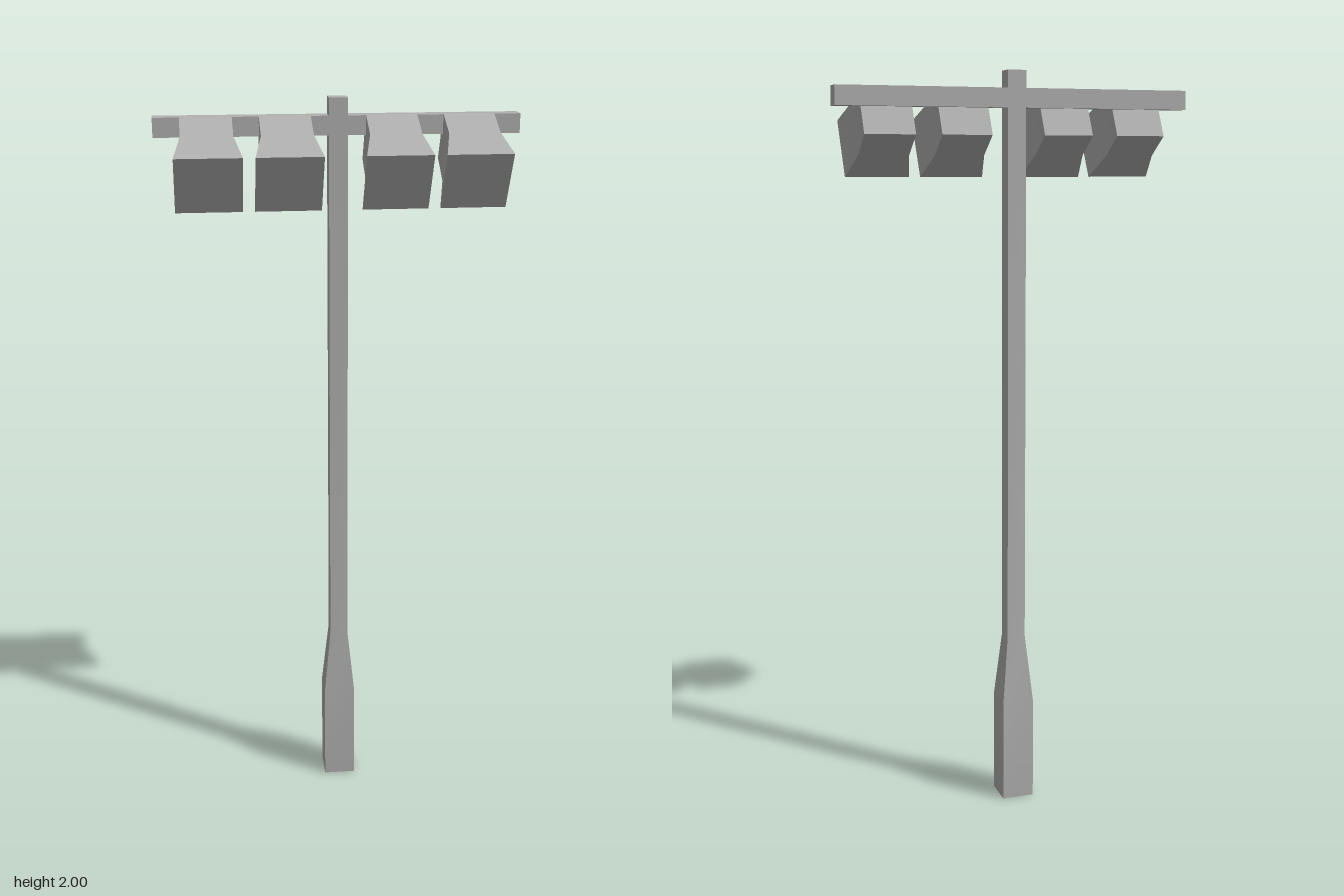
import * as THREE from 'three';
import { toCreasedNormals } from 'three/addons/utils/BufferGeometryUtils.js';

// Closed skin over four-cornered rings, each counter-clockwise seen from the end
function loft(rings) {
  const pos = [];
  const quad = (a, b, c, d) => pos.push(...a, ...b, ...c, ...a, ...c, ...d);
  for (let r = 0; r < rings.length - 1; r++) {
    for (let i = 0; i < 4; i++) {
      const j = (i + 1) % 4;
      quad(rings[r][i], rings[r][j], rings[r + 1][j], rings[r + 1][i]);
    }
  }
  const [a, b, c, d] = rings[0];
  quad(d, c, b, a);
  quad(...rings[rings.length - 1]);
  const geo = new THREE.BufferGeometry();
  geo.setAttribute('position', new THREE.Float32BufferAttribute(pos, 3));
  return toCreasedNormals(geo, Math.PI / 6);
}

export function createModel() {
  const model = new THREE.Group();
  model.name = 'floodlightMast';
  const metal = new THREE.MeshStandardMaterial({ color: 0xb0b0b0 });
  metal.name = 'grey metal';

  const add = (geo, name, x, y, z) => {
    const mesh = new THREE.Mesh(geo, metal);
    mesh.name = name;
    mesh.position.set(x, y, z);
    model.add(mesh);
  };

  const poleZ = -0.079;

  // Square pole: thick foot tapering into a slim shaft
  const square = (y, h) => [[h, y, h], [h, y, -h], [-h, y, -h], [-h, y, h]];
  add(loft([square(0, 0.044), square(0.28, 0.044), square(0.47, 0.025), square(2, 0.025)]),
    'pole', 0, 0, poleZ);

  // Crossbar through the pole
  add(new THREE.BoxGeometry(0.956, 0.05, 0.05), 'crossbar', 0, 1.93, poleZ);

  // Lamp heads tilted down to the front, flaring towards the lens
  const slice = (w, yBottom, zBottom, yTop, zTop) =>
    [[w, yBottom, zBottom], [w, yTop, zTop], [-w, yTop, zTop], [-w, yBottom, zBottom]];
  const lampGeo = loft([
    slice(0.067, 1.835, -0.119, 1.957, -0.055),
    slice(0.067, 1.785, -0.045, 1.917, 0.033),
    slice(0.086, 1.728, 0.037, 1.875, 0.12),
  ]);
  for (const x of [-0.342, -0.139, 0.138, 0.341]) add(lampGeo, 'lampHead', x, 0, 0);

  return model;
}
